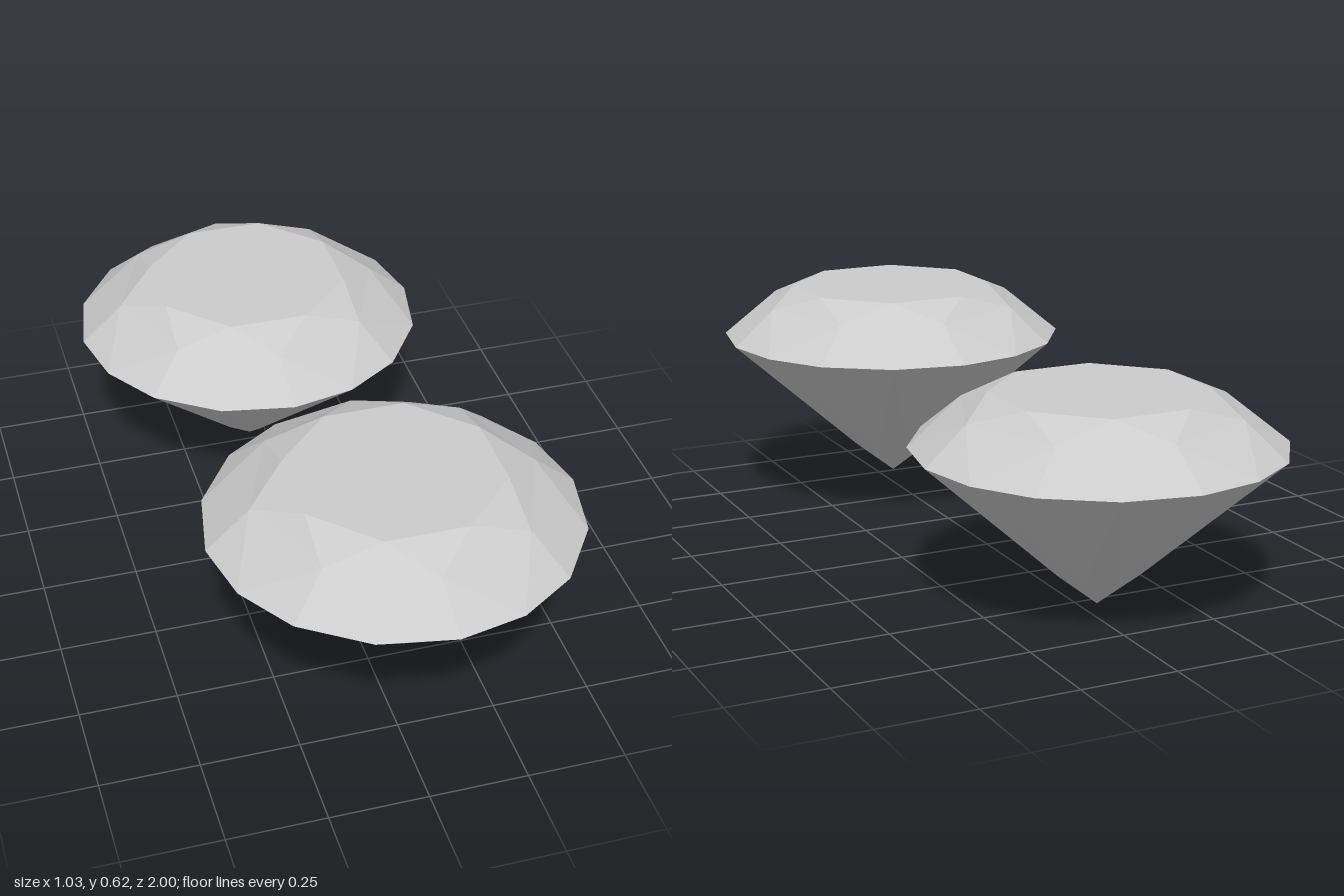
import * as THREE from 'three';

const STEP = Math.PI / 4;      // eight-fold cut
const TWIST = 0.023;           // slight alternating shift of every other girdle corner

// Point on a ring of radius r at height y; k counts eighths of a turn
const ring = (r, y, k, shift = 0) => {
  const a = k * STEP + shift;
  return [r * Math.cos(a), y, r * Math.sin(a)];
};

const table = (k) => ring(0.272, 0.548, k);
const crown = (k) => ring(0.358, 0.503, k);
const girdle = (k) => ring(0.469, 0.411, k);
const girdleMid = (k) => ring(0.469, 0.411, k, k % 2 ? TWIST : -TWIST);
const pavilion = (k) => ring(0.11, 0.088, k);

function facets(triangles) {
  const geometry = new THREE.BufferGeometry();
  geometry.setAttribute('position', new THREE.Float32BufferAttribute(triangles.flat(2), 3));
  geometry.computeVertexNormals();
  return geometry;
}

// Table, star facets, kites and upper girdle facets
function crownGeometry() {
  const tris = [];
  for (let i = 0; i < 8; i++) {
    const a = i - 0.5, b = i + 0.5;
    tris.push(
      [[0, 0.548, 0], table(b), table(a)],
      [table(a), table(b), crown(i)],
      [table(b), crown(i + 1), crown(i)],
      [crown(i), crown(i + 1), girdle(b)],
      [crown(i), girdle(b), girdleMid(i)],
      [crown(i), girdleMid(i), girdle(a)],
    );
  }
  return facets(tris);
}

// Long kites meeting at the point, and lower girdle facets
function pavilionGeometry() {
  const tris = [];
  for (let i = 0; i < 8; i++) {
    const a = i - 0.5, b = i + 0.5;
    tris.push(
      [[0, 0, 0], pavilion(i), pavilion(i + 1)],
      [pavilion(i), girdle(b), pavilion(i + 1)],
      [pavilion(i), girdle(a), girdleMid(i)],
      [pavilion(i), girdleMid(i), girdle(b)],
    );
  }
  return facets(tris);
}

export function createModel() {
  const model = new THREE.Group();
  model.name = 'gems';
  const material = new THREE.MeshStandardMaterial({ color: 0xcccccc, flatShading: true });
  const parts = { crown: crownGeometry(), pavilion: pavilionGeometry() };

  // Two identical gems, the front one slightly higher
  const places = { frontGem: [0.047, 0.075, 0.53], backGem: [-0.047, 0, -0.53] };
  for (const [name, position] of Object.entries(places)) {
    const gem = new THREE.Group();
    gem.name = name;
    gem.position.set(...position);
    for (const [part, geometry] of Object.entries(parts)) {
      const mesh = new THREE.Mesh(geometry, material);
      mesh.name = part;
      gem.add(mesh);
    }
    model.add(gem);
  }
  return model;
}
